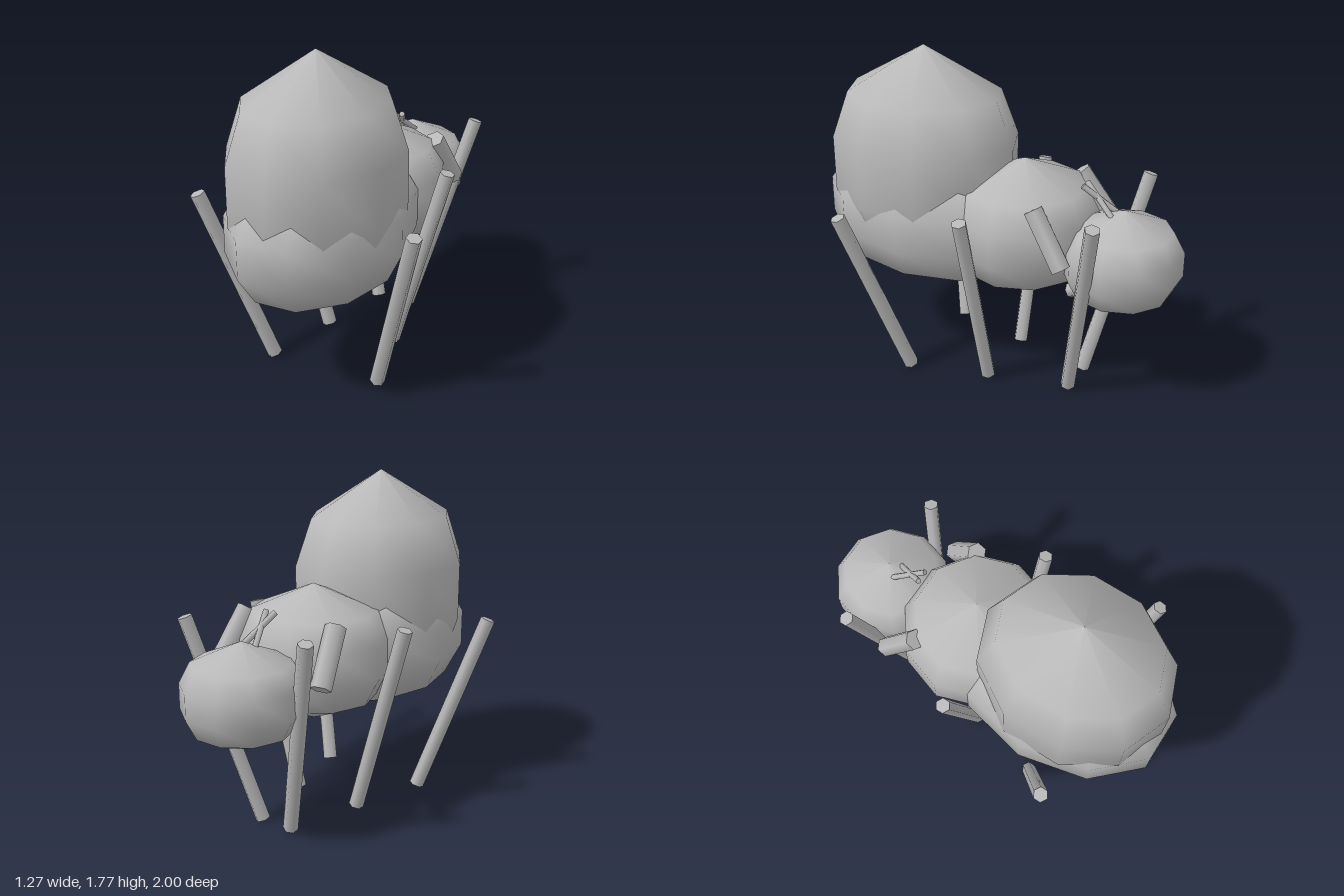
import * as THREE from 'three';

export function createModel() {
  const model = new THREE.Group();
  const grey = new THREE.MeshStandardMaterial({ color: 0xb8b8b8 });
  grey.name = 'plain grey';

  // Faceted, pointed-pole blob with ten sides and smooth normals
  const profile = [[0, -1], [0.82, -0.62], [1, -0.235], [1, 0.235], [0.82, 0.62], [0, 1]]
    .map(([r, y]) => new THREE.Vector2(r, y));
  function blob(name, position, radii, turn) {
    const mesh = new THREE.Mesh(new THREE.LatheGeometry(profile, 10, turn), grey);
    mesh.name = name;
    mesh.position.set(...position);
    mesh.scale.set(...radii);
    model.add(mesh);
  }

  // Straight rod between two points
  function rod(name, from, to, radius, sides = 6) {
    const a = new THREE.Vector3(...from);
    const b = new THREE.Vector3(...to);
    const dir = b.clone().sub(a);
    const mesh = new THREE.Mesh(new THREE.CylinderGeometry(radius, radius, dir.length(), sides), grey);
    mesh.name = name;
    mesh.position.copy(a).add(b).multiplyScalar(0.5);
    mesh.quaternion.setFromUnitVectors(new THREE.Vector3(0, 1, 0), dir.normalize());
    model.add(mesh);
  }

  // Body: flat side towards z, or a corner towards z for the upper abdomen
  const flat = Math.PI / 10;
  blob('lowerAbdomen', [0, 0.865, 0.4], [0.44, 0.42, 0.63], flat);
  blob('upperAbdomen', [0, 1.117, 0.455], [0.44, 0.653, 0.525], 0);
  blob('thorax', [0, 0.88, -0.14], [0.41, 0.37, 0.4], flat);
  blob('head', [0, 0.79, -0.7], [0.31, 0.28, 0.315], flat);

  // Mirrored limbs
  for (const [side, s] of [['left', 1], ['right', -1]]) {
    rod(side + 'AbdomenLeg', [s * 0.31, 0.01, 0.405], [s * 0.6, 0.985, 0.63], 0.04);
    rod(side + 'MiddleLeg', [s * 0.2, 0.01, -0.025], [s * 0.495, 1.055, -0.025], 0.04);
    rod(side + 'HeadLeg', [s * 0.095, 0.01, -0.46], [s * 0.39, 1.125, -0.69], 0.04);
    rod(side + 'Stub', [s * 0.335, 0.84, -0.51], [s * 0.29, 1.11, -0.33], 0.055);
    rod(side + 'Antenna', [s * 0.04, 1.03, -0.65], [s * -0.03, 1.17, -0.48], 0.016);
  }

  // Short mouth part under the head
  rod('mouthPart', [0, 0.64, -0.65], [0, 0.535, -0.41], 0.04);

  return model;
}
